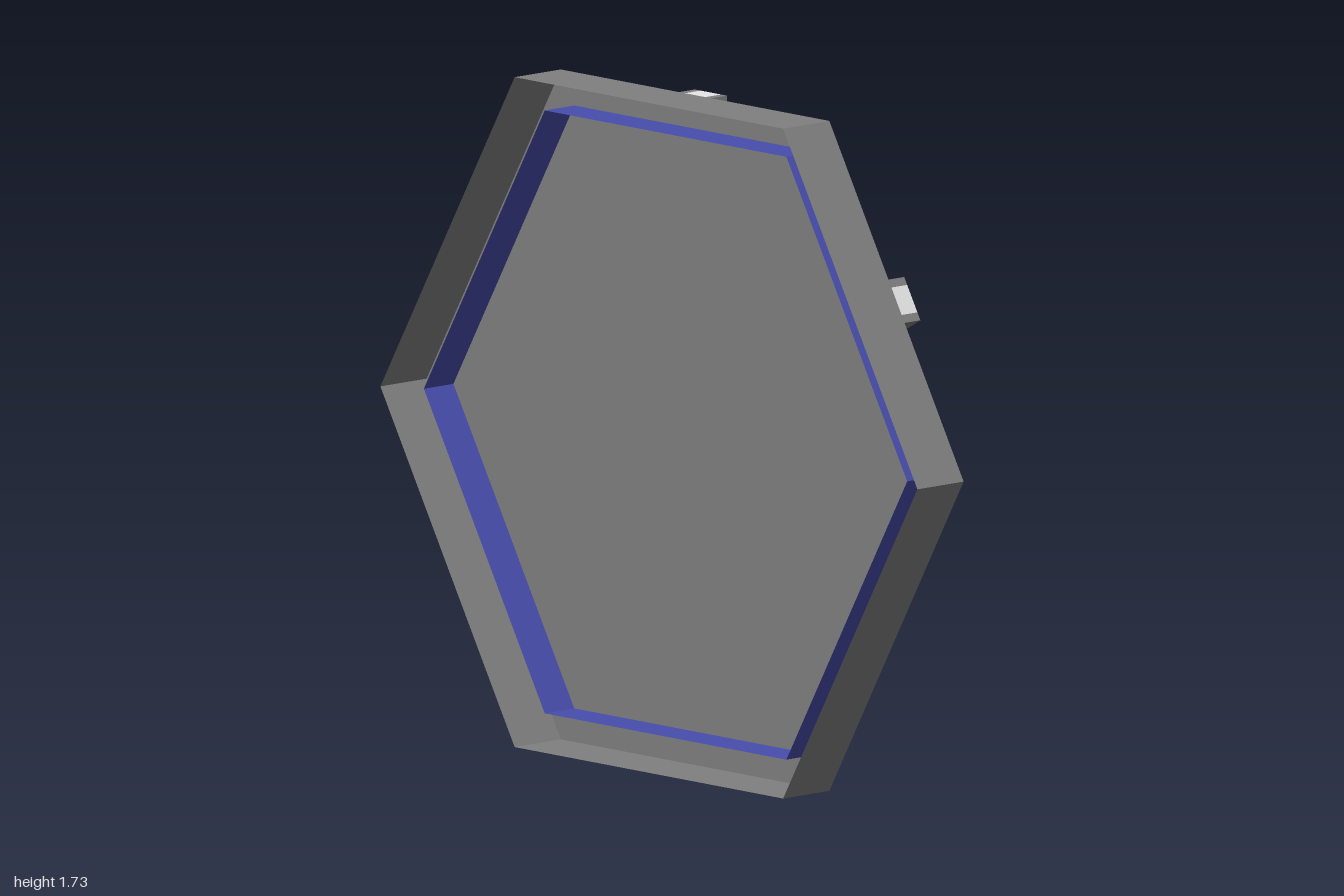
import * as THREE from 'three';

const CENTER_Y = 0.866;
const FLOOR_Z = -0.053, BACK_Z = -0.108;

export function createModel() {
  const model = new THREE.Group();
  const grey = new THREE.MeshStandardMaterial({ color: 0x808080, side: THREE.DoubleSide });
  grey.name = 'grey';
  const blue = new THREE.MeshStandardMaterial({ color: 0x474dad, side: THREE.DoubleSide });
  blue.name = 'blue';
  const white = new THREE.MeshStandardMaterial({ color: 0xffffff });
  white.name = 'white';

  function add(parent, name, geometry, material, x, y, z) {
    const mesh = new THREE.Mesh(geometry, material);
    mesh.name = name;
    mesh.position.set(x, y, z);
    parent.add(mesh);
    return mesh;
  }

  // Open hexagonal wall running from z0 (back) to z1 (front), faceted
  function hexWall(radius, z0, z1) {
    const wall = new THREE.CylinderGeometry(radius, radius, z1 - z0, 6, 1, true, Math.PI / 2)
      .rotateX(Math.PI / 2).toNonIndexed();
    wall.computeVertexNormals();
    return wall.translate(0, 0, (z0 + z1) / 2);
  }

  // Outer tray, open at the front, closed by a floor
  add(model, 'trayWall', hexWall(1, FLOOR_Z, 0.108), grey, 0, CENTER_Y, 0);
  add(model, 'trayFloor', new THREE.CircleGeometry(1, 6), grey, 0, CENTER_Y, FLOOR_Z);

  // Blue hexagonal panel passing through the floor, closed at the back
  add(model, 'panelWall', hexWall(0.9, -0.095, 0.05), blue, 0, CENTER_Y, 0);
  add(model, 'panelBack', new THREE.CircleGeometry(0.9, 6).rotateY(Math.PI), blue, 0, CENTER_Y, -0.095);

  // Two crossing bars on the back, each a white strip between grey rails
  const depth = FLOOR_Z - BACK_Z - 0.001;
  const barZ = BACK_Z + depth / 2;
  for (const angle of [0, -Math.PI / 3]) {
    const bar = new THREE.Group();
    bar.name = 'crossBar';
    bar.position.set(0, CENTER_Y, barZ);
    bar.rotation.z = angle;
    add(bar, 'strip', new THREE.BoxGeometry(0.076, 1.732, depth), white, 0, 0, 0);
    for (const side of [-1, 1]) {
      add(bar, 'rail', new THREE.BoxGeometry(0.022, 1.732, depth), grey, side * 0.049, 0, 0);
    }
    model.add(bar);
  }

  // Round hub where the bars meet
  const hub = new THREE.CylinderGeometry(0.125, 0.125, depth + 0.002, 32).rotateX(Math.PI / 2);
  add(model, 'hub', hub, white, 0, CENTER_Y, barZ - 0.001);

  return model;
}
